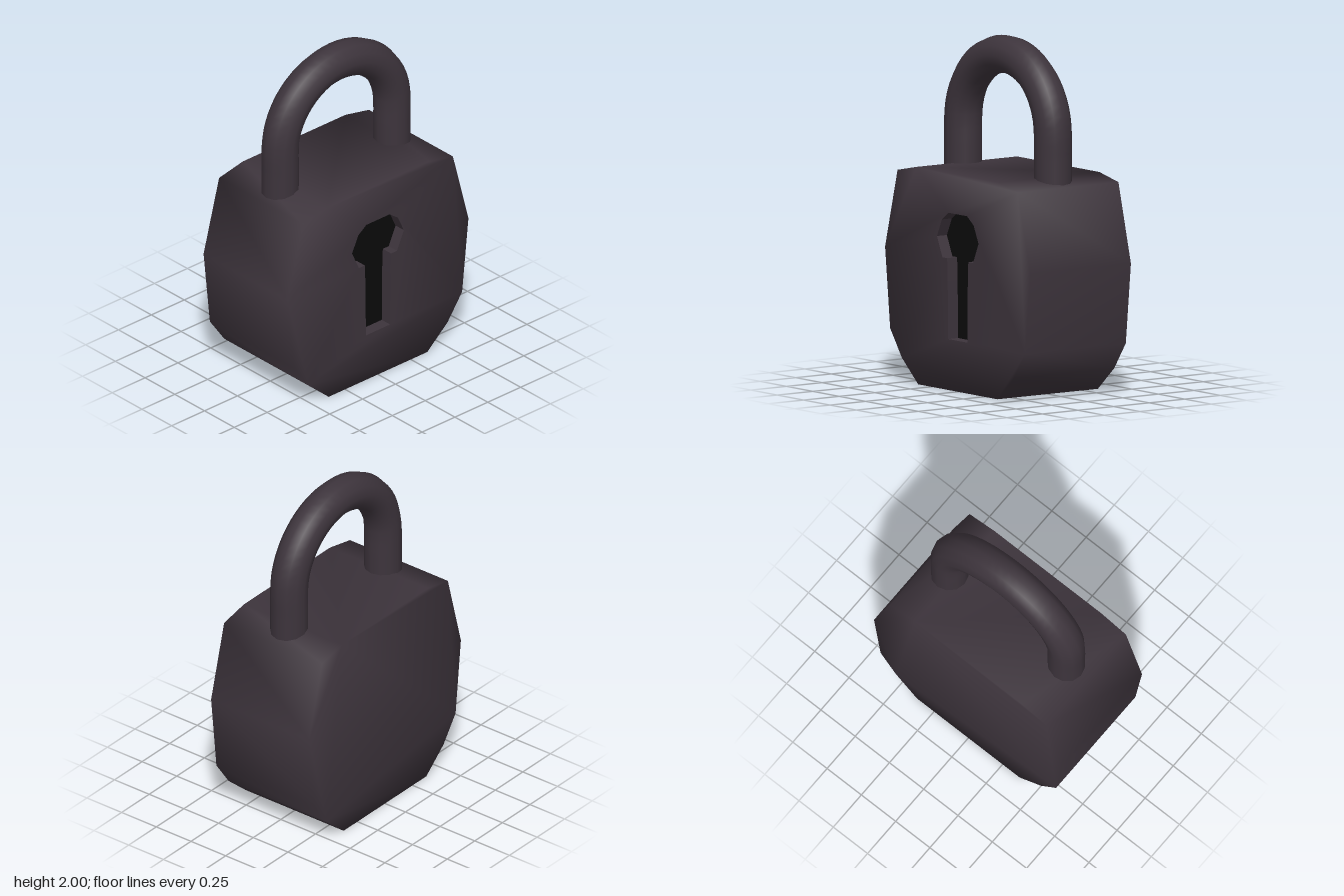
import * as THREE from 'three';
import { mergeGeometries, mergeVertices } from 'three/addons/utils/BufferGeometryUtils.js';

const HALF = 0.353; // half thickness of the body
const DEPTH = 0.07; // keyhole depth

// Mirror a right-hand profile (bottom to top) into a closed counter-clockwise outline
function mirrored(half) {
  const pts = half.map(([a, b]) => new THREE.Vector2(a, b));
  return pts.concat(half.slice().reverse().map(([a, b]) => new THREE.Vector2(-a, b)));
}

// Band of quads along a closed outline, facing away from it (or into it)
function wall(outline, z0, z1, inward = false) {
  const pos = [];
  outline.forEach((p, i) => {
    const q = outline[(i + 1) % outline.length];
    const [a, b] = inward ? [q, p] : [p, q];
    pos.push(a.x, a.y, z0, b.x, b.y, z0, b.x, b.y, z1);
    pos.push(a.x, a.y, z0, b.x, b.y, z1, a.x, a.y, z1);
  });
  const g = new THREE.BufferGeometry();
  g.setAttribute('position', new THREE.Float32BufferAttribute(pos, 3));
  g.computeVertexNormals();
  return g;
}

// Flat cap as plain positions
function cap(shape) {
  const g = new THREE.ShapeGeometry(shape).toNonIndexed();
  g.deleteAttribute('uv');
  g.deleteAttribute('normal');
  return g;
}

export function createModel() {
  const group = new THREE.Group();
  const iron = new THREE.MeshStandardMaterial({ name: 'dark iron', color: 0x3d343c });
  const black = new THREE.MeshStandardMaterial({ name: 'keyhole black', color: 0x0b0b0b });
  const add = (name, geometry, material) => {
    const mesh = new THREE.Mesh(geometry, material);
    mesh.name = name;
    group.add(mesh);
    return mesh;
  };

  const bodyOutline = mirrored([
    [0.375, 0], [0.53, 0.135], [0.64, 0.29], [0.688, 0.75], [0.57, 1.2], [0.39, 1.237],
  ]);
  const keyOutline = mirrored([
    [0.092, 0.29], [0.095, 0.62], [0.1, 0.75], [0.145, 0.75], [0.197, 0.865], [0.15, 0.965], [0.088, 1.01],
  ]);

  // Body shell: softly shaded across its edges, with the keyhole cut in one side
  const pierced = new THREE.Shape(bodyOutline);
  pierced.holes.push(new THREE.Path(keyOutline));
  const sides = wall(bodyOutline, -HALF, HALF);
  sides.deleteAttribute('normal');
  const shell = mergeVertices(mergeGeometries([
    sides,
    cap(pierced).translate(0, 0, HALF),
    cap(new THREE.Shape(bodyOutline)).rotateY(Math.PI).translate(0, 0, -HALF),
  ]));
  shell.computeVertexNormals();
  add('body', shell.rotateY(Math.PI / 2), iron);

  // Keyhole walls and black floor
  add('keyholeWalls', wall(keyOutline, HALF - DEPTH, HALF, true).rotateY(Math.PI / 2), iron);
  const floor = new THREE.ShapeGeometry(new THREE.Shape(keyOutline));
  add('keyholeFloor', floor.translate(0, 0, HALF - DEPTH).rotateY(Math.PI / 2), black);

  // Shackle: straight legs joined by an arch
  const path = [1.1, 1.22, 1.35].map((y) => new THREE.Vector3(0, y, 0.425));
  for (let i = 0; i <= 16; i++) {
    const a = (Math.PI * i) / 16;
    path.push(new THREE.Vector3(0, 1.48 + 0.413 * Math.sin(a), 0.425 * Math.cos(a)));
  }
  [1.35, 1.22, 1.1].forEach((y) => path.push(new THREE.Vector3(0, y, -0.425)));
  const shackle = new THREE.TubeGeometry(new THREE.CatmullRomCurve3(path), 44, 0.108, 12);
  add('shackle', shackle, iron);

  return group;
}
